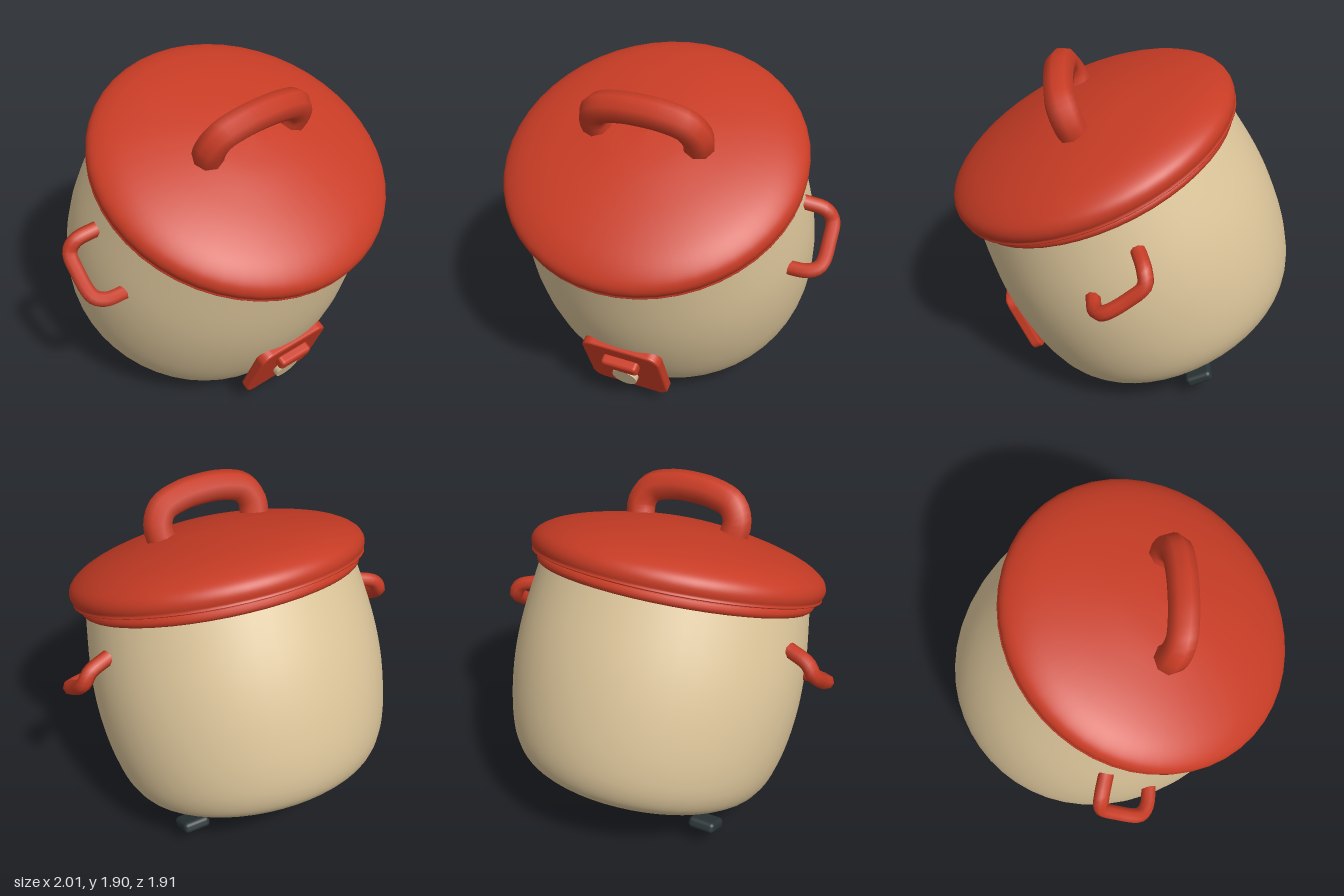
import * as THREE from 'three';
import { RoundedBoxGeometry } from 'three/addons/geometries/RoundedBoxGeometry.js';

const makeMaterial = (name, color, side = THREE.FrontSide) => {
  const m = new THREE.MeshStandardMaterial({ color, side });
  m.name = name;
  return m;
};

// Smooth lathe through a few profile points [radius, height], bottom to top
function lathe(points, divisions) {
  const curve = new THREE.SplineCurve(points.map(([r, y]) => new THREE.Vector2(r, y)));
  const profile = curve.getPoints(divisions);
  profile.forEach((p) => { p.x = Math.max(p.x, 0); });
  return new THREE.LatheGeometry(profile, 48);
}

function tube(points, radius, segments) {
  const curve = new THREE.CatmullRomCurve3(points.map((p) => new THREE.Vector3(...p)));
  return new THREE.TubeGeometry(curve, segments, radius, 8, false);
}

function roundedRect(w, h, r) {
  const s = new THREE.Shape();
  const x = w / 2 - r, y = h / 2 - r;
  s.absarc(x, y, r, 0, Math.PI / 2);
  s.absarc(-x, y, r, Math.PI / 2, Math.PI);
  s.absarc(-x, -y, r, Math.PI, Math.PI * 1.5);
  s.absarc(x, -y, r, Math.PI * 1.5, Math.PI * 2);
  s.closePath();
  return s;
}

export function createModel() {
  const red = makeMaterial('red enamel', 0xc83c25, THREE.DoubleSide);
  const cream = makeMaterial('cream enamel', 0xdcc59a);
  const dark = makeMaterial('dark rubber', 0x2a3436);

  const model = new THREE.Group();
  model.name = 'riceCooker';

  // The whole pot leans forward
  const pot = new THREE.Group();
  pot.name = 'tiltedPot';
  pot.rotation.x = 0.405;
  pot.position.set(0, 0.16, -0.374);
  model.add(pot);

  const add = (name, geometry, material, x = 0, y = 0, z = 0) => {
    const mesh = new THREE.Mesh(geometry, material);
    mesh.name = name;
    mesh.position.set(x, y, z);
    pot.add(mesh);
    return mesh;
  };

  // Rounded body
  add('body', lathe([
    [0, 0.035], [0.25, 0.035], [0.42, 0.04], [0.52, 0.058], [0.61, 0.095], [0.69, 0.155],
    [0.755, 0.262], [0.8, 0.42], [0.825, 0.61], [0.83, 0.8], [0.815, 1.0], [0.775, 1.27],
  ], 40), cream);

  // Rim bead under the lid
  const rim = add('rim', new THREE.TorusGeometry(0.768, 0.031, 10, 48), red, 0, 1.283, 0);
  rim.rotation.x = Math.PI / 2;

  // Domed lid
  add('lid', lathe([
    [0, 1.31], [0.4, 1.31], [0.79, 1.312], [0.83, 1.335], [0.842, 1.385], [0.815, 1.437],
    [0.73, 1.493], [0.6, 1.54], [0.434, 1.58], [0.22, 1.615], [0, 1.628],
  ], 50), red);

  // Arched lid handle
  add('lidHandle', tube([
    [-0.285, 1.56, 0], [-0.297, 1.67, 0], [-0.25, 1.755, 0], [-0.13, 1.797, 0], [0, 1.807, 0],
    [0.13, 1.797, 0], [0.25, 1.755, 0], [0.297, 1.67, 0], [0.285, 1.56, 0],
  ], 0.086, 32), red);

  // Bent side handles
  for (const side of [1, -1]) {
    add(side > 0 ? 'leftHandle' : 'rightHandle', tube([
      [0.78, 0.916, 0.183], [0.9, 0.91, 0.169], [0.953, 0.913, 0.124], [0.957, 0.944, -0.031],
      [0.945, 0.984, -0.135], [0.905, 1.041, -0.157], [0.78, 1.088, -0.145],
    ].map(([x, y, z]) => [x * side, y, z]), 0.042, 28), red);
  }

  // Control panel with switch and knob
  const panel = new THREE.ExtrudeGeometry(roundedRect(0.452, 0.392, 0.055), {
    depth: 0.035, bevelEnabled: true, bevelThickness: 0.013, bevelSize: 0.013,
    bevelSegments: 3, curveSegments: 6,
  });
  add('controlPanel', panel, red, 0, 0.5, 0.803);
  add('switch', new RoundedBoxGeometry(0.22, 0.075, 0.07, 3, 0.022), red, 0, 0.588, 0.87);
  const knob = add('knob', new THREE.CylinderGeometry(0.075, 0.075, 0.06, 20), cream, 0, 0.447, 0.854);
  knob.rotation.x = Math.PI / 2;

  // Pair of feet
  for (const side of [1, -1]) {
    add(side > 0 ? 'leftFoot' : 'rightFoot',
      new RoundedBoxGeometry(0.16, 0.065, 0.155, 3, 0.025), dark, side * 0.49, -0.032, -0.06);
  }

  return model;
}
